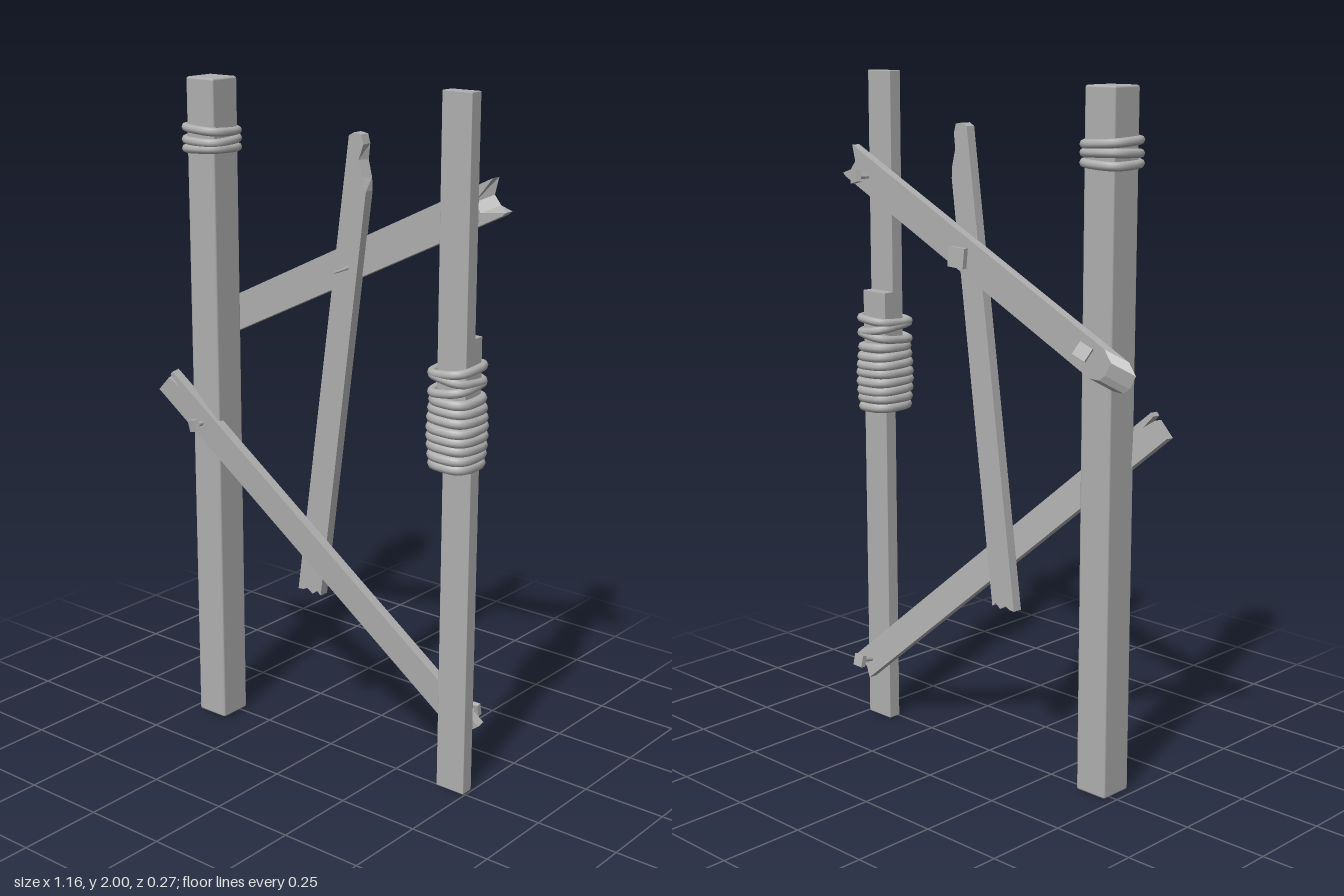
import * as THREE from 'three';
import { RoundedBoxGeometry } from 'three/addons/geometries/RoundedBoxGeometry.js';

export function createModel() {
  const grey = new THREE.MeshStandardMaterial({ color: 0xb0b0b0 });
  grey.name = 'weathered grey';
  const model = new THREE.Group();
  model.name = 'brokenFence';
  const V = (x, y, z) => new THREE.Vector3(x, y, z);

  function add(name, geometry, parent = model) {
    const mesh = new THREE.Mesh(geometry, grey);
    mesh.name = name;
    parent.add(mesh);
    return mesh;
  }

  // Upright post given by its minimum and maximum corners
  function post(name, min, max, bevel) {
    const size = max.clone().sub(min);
    const mesh = add(name, new RoundedBoxGeometry(size.x, size.y, size.z, 1, bevel));
    mesh.position.copy(min).add(max).multiplyScalar(0.5);
  }

  // Split plank running from a to b: outline in length and width, extruded to its thickness.
  // cut(p, length) can shift corners to splinter the ends through the thickness.
  function plank(name, a, b, thickness, outline, cut) {
    const length = a.distanceTo(b);
    const shape = new THREE.Shape(outline(length).map(([x, y]) => new THREE.Vector2(x, y)));
    const geo = new THREE.ExtrudeGeometry(shape, { depth: thickness, bevelEnabled: false });
    geo.translate(0, 0, -thickness / 2);
    const pos = geo.attributes.position;
    const p = V(0, 0, 0);
    for (let i = 0; i < pos.count; i++) {
      p.fromBufferAttribute(pos, i);
      cut(p, length);
      pos.setXYZ(i, p.x, p.y, p.z);
    }
    geo.computeVertexNormals();
    const along = b.clone().sub(a).normalize();
    const across = V(0, 0, 1).cross(along).normalize();
    const out = along.clone().cross(across);
    const mesh = add(name, geo);
    mesh.quaternion.setFromRotationMatrix(new THREE.Matrix4().makeBasis(along, across, out));
    mesh.position.copy(a);
  }

  // Nail with a square head, pointing from its head to its tip
  function nail(name, head, tip, size) {
    const group = new THREE.Group();
    group.name = name;
    const length = head.distanceTo(tip);
    add('nailHead', new THREE.BoxGeometry(size, 0.016, size), group);
    add('nailShaft', new THREE.CylinderGeometry(0.008, 0.003, length, 6), group).position.y = -length / 2;
    group.position.copy(head);
    group.quaternion.setFromUnitVectors(V(0, 1, 0), head.clone().sub(tip).normalize());
    model.add(group);
  }

  // One rounded-square rope loop, tilted a little
  function loop(name, center, rx, rz, radius, tiltX, tiltZ) {
    const points = [];
    const soft = (v) => Math.sign(v) * Math.abs(v) ** 0.65;
    for (let i = 0; i < 20; i++) {
      const t = (i / 20) * Math.PI * 2;
      points.push(V(rx * soft(Math.cos(t)), 0, rz * soft(Math.sin(t))));
    }
    const curve = new THREE.CatmullRomCurve3(points, true);
    const mesh = add(name, new THREE.TubeGeometry(curve, 40, radius, 8, true));
    mesh.position.copy(center);
    mesh.rotation.set(tiltX, 0, tiltZ);
  }

  // Posts: one whole, one spliced from two lengths
  post('rightPost', V(-0.475, 0, -0.027), V(-0.37, 1.98, 0.077), 0.007);
  post('leftPostLower', V(0.4, 0, -0.036), V(0.495, 1.35, 0.004), 0.002);
  post('leftPostUpper', V(0.4, 1.0, -0.004), V(0.495, 2, 0.037), 0.002);

  // Upper rail, behind both posts
  plank('upperRail', V(-0.55, 1.205, -0.045), V(0.555, 1.735, -0.02), 0.028,
    (L) => [[0.0, -0.012], [0.012, -0.035], [0.045, -0.05], [L - 0.01, -0.05], [L + 0.005, -0.046],
      [L - 0.022, -0.02], [L - 0.03, 0.012], [L + 0.003, 0.05], [0.035, 0.05], [-0.002, 0.03]],
    (p, L) => {
      if (p.z < 0 && p.x < 0.1) p.x += 0.07;
      if (p.z > 0 && p.x > L - 0.04 && p.y < 0.03 && p.y > -0.03) p.x -= 0.05;
    });

  // Lower brace, from the front of one post to the back of the other
  plank('lowerBrace', V(-0.553, 1.076, 0.098), V(0.475, 0.167, -0.065), 0.03,
    (L) => [[0, -0.043], [L, -0.043], [L - 0.012, -0.01], [L, 0.043], [0, 0.043],
      [0, 0.03], [0.045, 0.024], [0.002, 0.018]],
    () => {});

  // Loose middle slat
  plank('middleSlat', V(-0.086, 0.47, -0.017), V(0.112, 1.86, 0.0), 0.03,
    (L) => [[0.01, -0.043], [L - 0.15, -0.043], [L - 0.115, -0.036], [L - 0.07, -0.018],
      [L - 0.025, -0.017], [L, -0.006], [L, 0.02], [L - 0.012, 0.036],
      [0, 0.043], [0.004, 0.025], [0.014, 0.01], [0.004, -0.012], [0.02, -0.028]],
    (p, L) => {
      if (p.z > 0 && p.x > L - 0.13 && p.x < L - 0.05 && p.y < 0) p.y += 0.012;
    });

  // Nails
  nail('frontNail', V(-0.432, 0.957, 0.119), V(-0.41, 0.965, 0.03), 0.036);
  nail('railNailRight', V(-0.445, 1.292, -0.107), V(-0.395, 1.265, -0.02), 0.04);
  nail('railNailMiddle', V(0.065, 1.49, -0.063), V(0.073, 1.483, 0.075), 0.058);
  nail('railNailLeft', V(0.475, 1.693, -0.077), V(0.455, 1.688, 0.01), 0.036);
  nail('braceNail', V(0.438, 0.207, -0.125), V(0.44, 0.185, -0.02), 0.036);

  // Rope around the whole post
  [[1.777, -0.03, 0.05], [1.803, 0.05, -0.03], [1.832, -0.04, -0.06]].forEach(([y, tx, tz]) =>
    loop('rightPostRope', V(-0.422, y, 0.028), 0.066, 0.066, 0.0125, tx, tz));

  // Rope binding the splice: a tight barrel of turns, then loose crossing turns
  for (let i = 0; i < 8; i++) {
    const bulge = 0.006 * Math.sin((i / 7) * Math.PI);
    loop('spliceRope', V(0.448, 0.997 + i * 0.026, 0.006), 0.056 + bulge, 0.062 + bulge, 0.0145,
      0.03 * Math.sin(i * 2), -0.04);
  }
  [[1.212, 0.1, 0.12], [1.238, -0.1, -0.16], [1.262, 0.06, 0.08]].forEach(([y, tx, tz]) =>
    loop('spliceRopeLoose', V(0.446, y, 0.006), 0.058, 0.069, 0.0125, tx, tz));

  return model;
}
